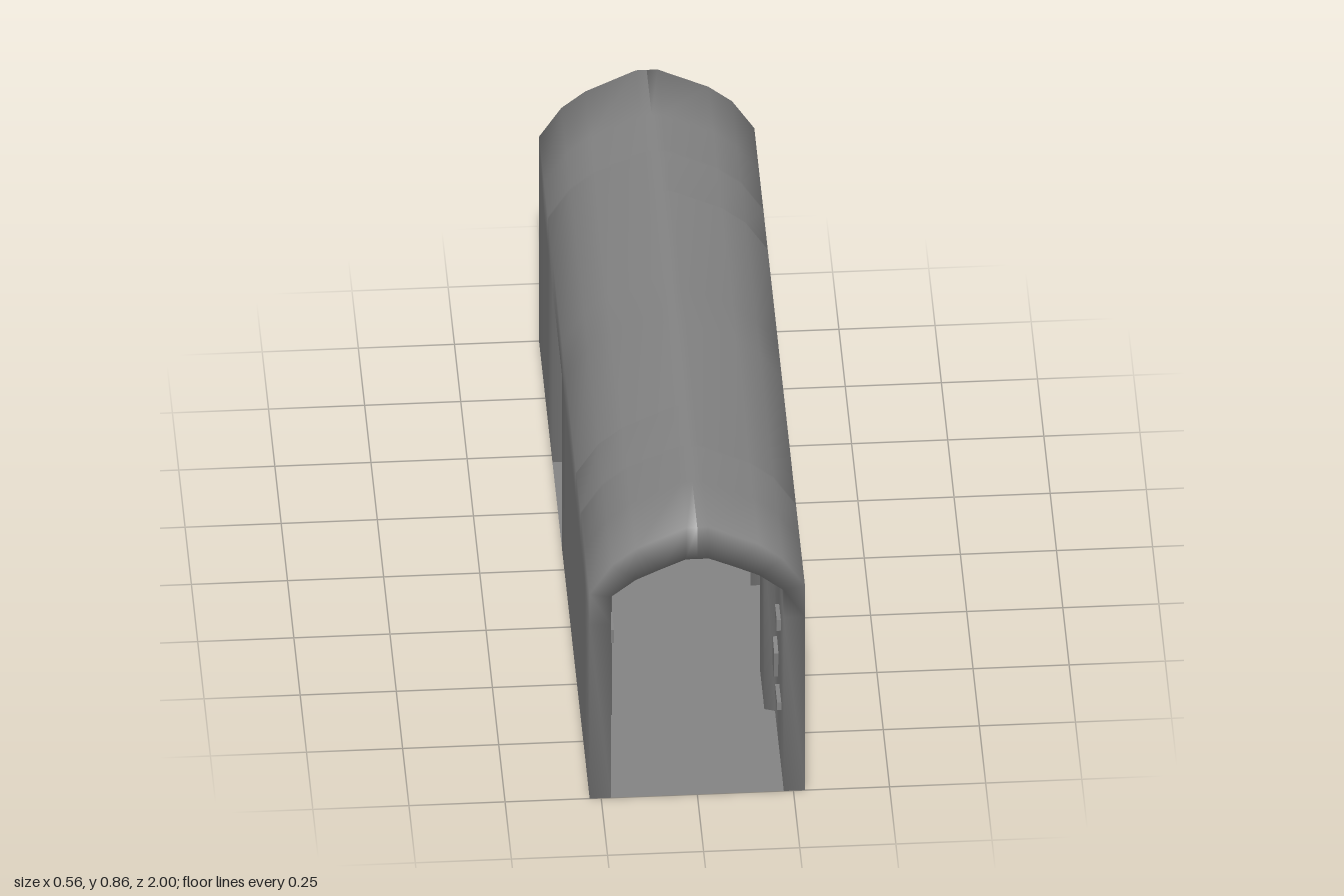
import * as THREE from 'three';
import { mergeVertices } from 'three/addons/utils/BufferGeometryUtils.js';

const STONE = new THREE.MeshStandardMaterial({ color: 0x848484 });
const FLOOR = new THREE.MeshStandardMaterial({ color: 0x848484, side: THREE.DoubleSide });
const DOOR_TOP = 0.56, DOOR_NEAR = 0.47, DOOR_FAR = 0.1, STEP = 0.65;

// Half width of the passage along the +x wall: [z, half width]
const STATIONS = [
  [1, 0.225], [0.8, 0.225], [STEP, 0.225], [0.64, 0.198], [DOOR_NEAR, 0.198], [DOOR_FAR, 0.198],
  [-0.05, 0.207], [-0.469, 0.225], [-0.47, 0.198], [-0.64, 0.198], [-STEP, 0.225], [-0.8, 0.225], [-1, 0.225],
];

function halfWidth(z) {
  const i = Math.max(1, STATIONS.findIndex((s) => s[0] <= z));
  const [z0, w0] = STATIONS[i - 1], [z1, w1] = STATIONS[i];
  return THREE.MathUtils.mapLinear(z, z0, z1, w0, w1);
}

// Cross-sections from the foot of the +x wall up to the ridge
const OUTER = [[0.28, 0], [0.28, DOOR_TOP], [0.28, 0.66], [0.222, 0.75], [0.16, 0.8], [0.028, 0.862], [0, 0.862]];
const MOUTH = [[0.225, 0], [0.225, DOOR_TOP], [0.225, 0.648], [0.16, 0.7], [0.095, 0.731], [0.03, 0.76], [0, 0.76]];
const MIDDLE = [[0.198, 0], [0.198, DOOR_TOP], [0.198, 0.585], [0.14, 0.63], [0.09, 0.656], [0.03, 0.686], [0, 0.686]];

const outerAt = (z) => OUTER.map(([x, y]) => [x, y, z]);

// The vault drops to the lower arch beyond the step; only the wall follows the half width
const innerAt = (z) => (Math.abs(z) >= STEP ? MOUTH : MIDDLE)
  .map(([x, y], j) => [j < 2 ? halfWidth(z) : x, y, z]);

// Skin through all stations, leaving out the doorway
function skin(sectionAt, outward) {
  const quads = [];
  for (let i = 0; i < STATIONS.length - 1; i++) {
    const p = sectionAt(STATIONS[i][0]), q = sectionAt(STATIONS[i + 1][0]);
    for (let j = 0; j < p.length - 1; j++) {
      if (j === 0 && STATIONS[i][0] === DOOR_NEAR) continue;
      const quad = [p[j], p[j + 1], q[j + 1], q[j]];
      quads.push(outward ? quad.reverse() : quad);
    }
  }
  return quads;
}

// Faces closing the wall thickness at a given z
function wallEnd(z, count, facesFront) {
  const o = outerAt(z), n = innerAt(z), quads = [];
  for (let j = 0; j < count; j++) {
    const quad = [o[j], o[j + 1], n[j + 1], n[j]];
    quads.push(facesFront ? quad : quad.reverse());
  }
  return quads;
}

// One wall with half the vault, its end rims and door reveal, softly shaded throughout
function halfShell() {
  const lintel = [innerAt(DOOR_NEAR)[1], innerAt(DOOR_FAR)[1], outerAt(DOOR_FAR)[1], outerAt(DOOR_NEAR)[1]];
  const quads = [
    ...skin(outerAt, true), ...skin(innerAt, false),
    ...wallEnd(1, 6, true), ...wallEnd(-1, 6, false),
    ...wallEnd(DOOR_NEAR, 1, false), ...wallEnd(DOOR_FAR, 1, true), lintel,
  ];
  const positions = quads.flatMap(([a, b, c, d]) => [...a, ...b, ...c, ...a, ...c, ...d]);
  const soup = new THREE.BufferGeometry();
  soup.setAttribute('position', new THREE.Float32BufferAttribute(positions, 3));
  const geometry = mergeVertices(soup, 1e-5);
  geometry.computeVertexNormals();
  return geometry;
}

// Loose bricks showing in the inner walls: [side, y, z, length, height, tilt]
const BRICKS = [
  [-1, 0.49, 0.92, 0.07, 0.045, 0.1], [-1, 0.235, 0.73, 0.05, 0.06, 0.4], [-1, 0.145, 0.79, 0.06, 0.03, 0.1],
  [-1, 0.51, 0.4, 0.04, 0.02, -0.4], [-1, 0.525, 0.33, 0.06, 0.03, 0], [-1, 0.467, 0.375, 0.07, 0.035, 0],
  [-1, 0.25, 0.22, 0.09, 0.045, 0], [-1, 0.185, 0.175, 0.09, 0.05, 0.25],
  [-1, 0.49, -0.9, 0.07, 0.04, 0.2], [-1, 0.47, -0.96, 0.06, 0.04, 0], [-1, 0.27, -0.77, 0.09, 0.04, 0],
  [-1, 0.19, -0.75, 0.09, 0.04, 0.1], [-1, 0.18, -0.82, 0.07, 0.045, 0.3],
  [1, 0.45, 0.85, 0.07, 0.035, 0], [1, 0.25, 0.75, 0.06, 0.09, 0.2], [1, 0.2, 0.86, 0.08, 0.025, 0],
  [1, 0.42, -0.92, 0.08, 0.045, -0.2], [1, 0.41, -0.84, 0.08, 0.045, -0.4],
];

export function createModel() {
  const model = new THREE.Group();
  model.name = 'tunnel';

  // Two identical halves, the second turned half way round
  const shell = halfShell();
  ['leftHalf', 'rightHalf'].forEach((name, i) => {
    const half = new THREE.Mesh(shell, STONE);
    half.name = name;
    half.rotation.y = i * Math.PI;
    model.add(half);
  });

  const floor = new THREE.Mesh(new THREE.PlaneGeometry(0.56, 2), FLOOR);
  floor.name = 'floor';
  floor.rotation.x = -Math.PI / 2;
  model.add(floor);

  const bricks = new THREE.Group();
  bricks.name = 'bricks';
  for (const [side, y, z, length, height, tilt] of BRICKS) {
    const brick = new THREE.Mesh(new THREE.BoxGeometry(0.022, height, length), STONE);
    brick.name = 'brick';
    brick.position.set(side * halfWidth(side * z), y, z);
    brick.rotation.x = tilt;
    bricks.add(brick);
  }
  model.add(bricks);
  return model;
}
